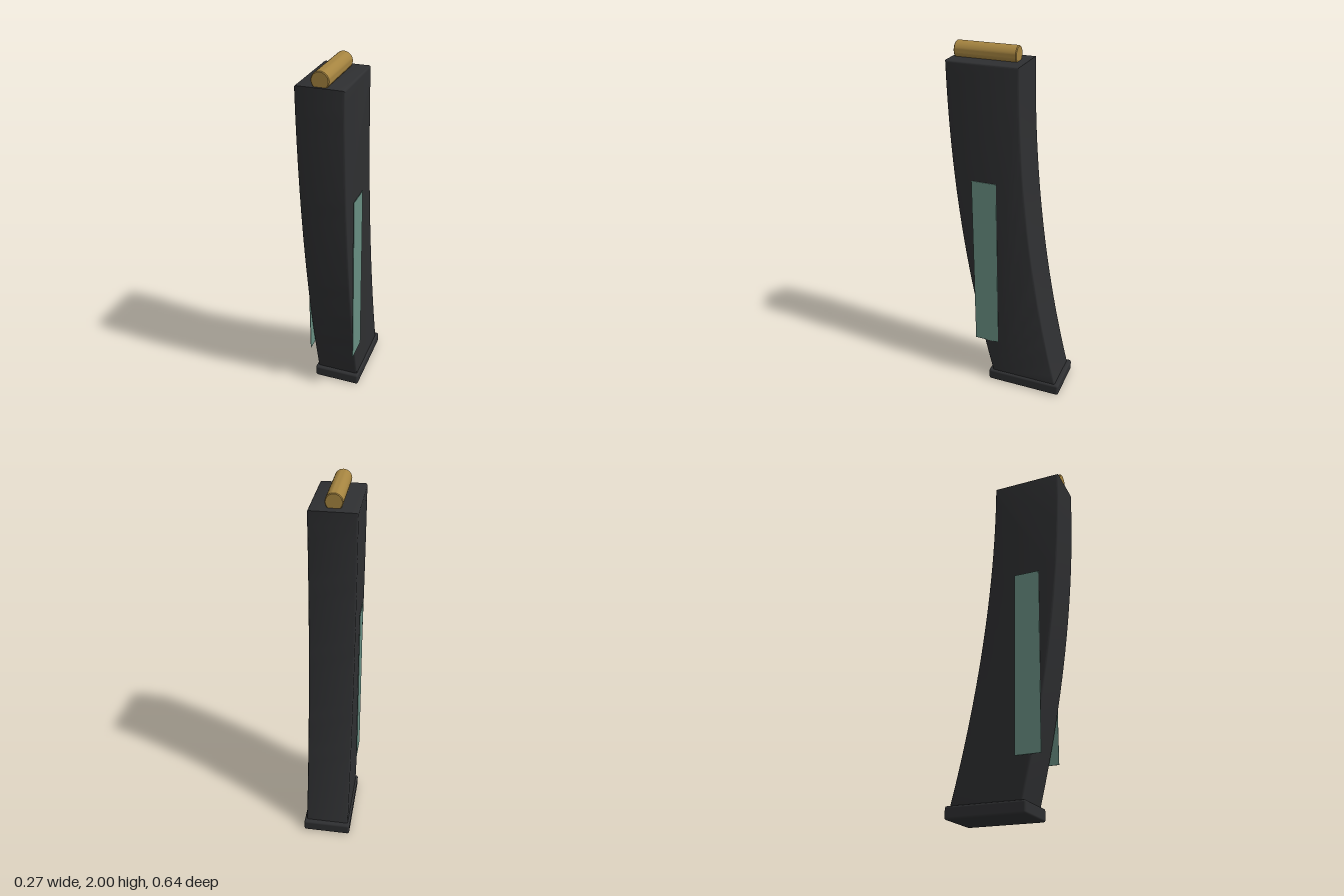
import * as THREE from 'three';
import { RoundedBoxGeometry } from 'three/addons/geometries/RoundedBoxGeometry.js';
import { toCreasedNormals } from 'three/addons/utils/BufferGeometryUtils.js';

export function createModel() {
  const model = new THREE.Group();
  const add = (name, geometry, color, x = 0, y = 0, z = 0) => {
    const mesh = new THREE.Mesh(geometry, new THREE.MeshStandardMaterial({ color }));
    mesh.name = name;
    mesh.position.set(x, y, z);
    model.add(mesh);
    return mesh;
  };
  const dark = 0x2e2f31;

  // Curved body: side profile swept back towards the bottom, extruded across the width
  const top = 1.925, bottom = 0.05, bevel = 0.01, width = 0.246, steps = 24;
  const front = [], back = [];
  for (let i = 0; i <= steps; i++) {
    const t = i / steps;
    const y = top + (bottom - top) * t;
    const shift = 0.233 * t * t;
    front.push(new THREE.Vector2(0.322 - shift, y));
    back.push(new THREE.Vector2(-0.07 - shift, y));
  }
  const bodyGeometry = new THREE.ExtrudeGeometry(new THREE.Shape([...front, ...back.reverse()]), {
    depth: width - 2 * bevel, bevelEnabled: true, bevelThickness: bevel,
    bevelSize: bevel, bevelOffset: -bevel, bevelSegments: 3,
  });
  bodyGeometry.translate(0, 0, bevel - width / 2).rotateY(-Math.PI / 2);
  add('body', toCreasedNormals(bodyGeometry, 0.6), dark);

  // Floor plate
  add('basePlate', new RoundedBoxGeometry(0.27, 0.068, 0.438, 3, 0.012), dark, 0, 0.034, -0.104);

  // Thin window strips on both sides
  for (const [name, side] of [['leftWindow', 1], ['rightWindow', -1]]) {
    add(name, new THREE.BoxGeometry(0.003, 1.015, 0.14), 0x688e82, side * 0.1285, 0.7925, 0.125);
  }

  // Cartridge lying on top, with lightly rounded rims
  const r = 0.045, h = 0.1675, c = 0.004;
  const profile = [[0, -h], [r - c, -h], [r, -h + c], [r, h - c], [r - c, h], [0, h]]
    .map(([x, y]) => new THREE.Vector2(x, y));
  const round = new THREE.LatheGeometry(profile, 32).rotateX(Math.PI / 2);
  add('cartridge', toCreasedNormals(round, 0.5), 0xa58440, 0, 1.955, 0.1425);

  return model;
}
